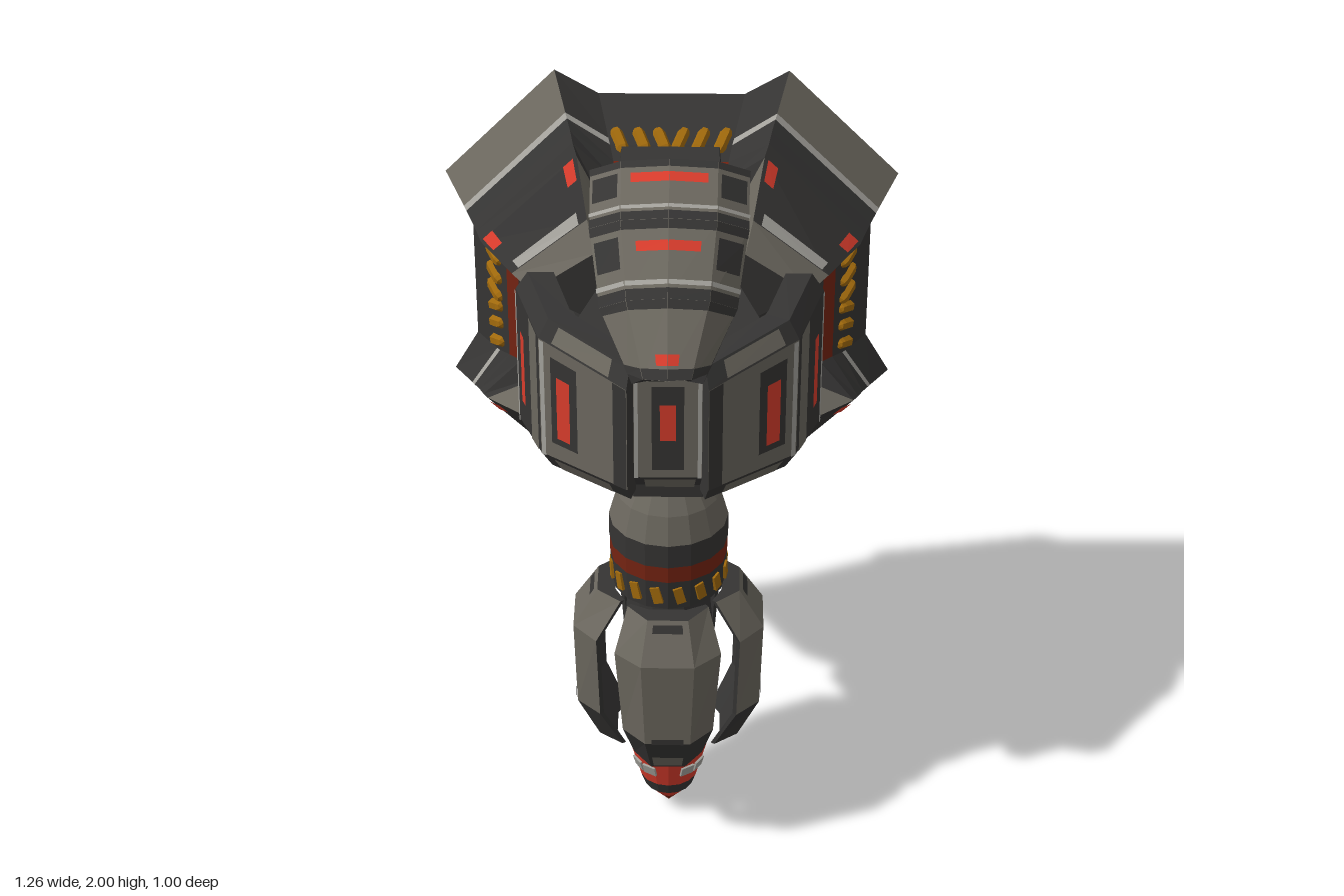
import * as THREE from 'three';

const material = (name, color) => {
  const m = new THREE.MeshStandardMaterial({ color, flatShading: true, side: THREE.DoubleSide });
  m.name = name;
  return m;
};
const mats = {
  dark: material('charcoal', 0x353433), mid: material('warm grey', 0x6b675e),
  light: material('pale edge grey', 0xa3a19b), red: material('signal red', 0xd83c2c),
  rust: material('dark red', 0x742312), amber: material('amber', 0xa0690c),
};
const V = (x, y, z) => new THREE.Vector3(x, y, z);
const mean = pts => pts.reduce((s, p) => s.add(p), V(0, 0, 0)).divideScalar(pts.length);
const normalOf = q => V(0, 0, 0).crossVectors(q[2].clone().sub(q[0]), q[3].clone().sub(q[1])).normalize();

// Collects flat faces by colour, then makes one named mesh per colour
function builder() {
  const data = {};
  const B = {
    face(mat, pts, centre) {
      let p = pts;
      if (centre && normalOf(p).dot(mean(p).sub(centre)) < 0) p = [...p].reverse();
      const out = (data[mat] ??= []);
      for (let i = 1; i + 1 < p.length; i++)
        for (const v of [p[0], p[i], p[i + 1]]) out.push(v.x, v.y, v.z);
    },
    // Thin painted patch on quad q, given in fractions of its two edges
    decal(mat, q, u0, u1, v0, v1, centre, lift = 0.004) {
      const n = normalOf(q);
      if (n.dot(mean(q).sub(centre)) < 0) n.negate();
      const at = (u, v) => q[0].clone().lerp(q[1], u).lerp(q[3].clone().lerp(q[2], u), v).addScaledVector(n, lift);
      B.face(mat, [at(u0, v0), at(u1, v0), at(u1, v1), at(u0, v1)], centre);
    },
    // Solid with an outer quad and a matching inner quad
    hex(outer, inner, mat) {
      const c = mean([...outer, ...inner]);
      B.face(mat, outer, c);
      B.face('dark', inner, c);
      for (let i = 0; i < 4; i++) {
        const j = (i + 1) % 4;
        B.face('dark', [outer[i], outer[j], inner[j], inner[i]], c);
      }
      return c;
    },
    done(name) {
      const g = new THREE.Group();
      g.name = name;
      for (const [mat, pos] of Object.entries(data)) {
        const geo = new THREE.BufferGeometry();
        geo.setAttribute('position', new THREE.Float32BufferAttribute(pos, 3));
        geo.computeVertexNormals();
        const mesh = new THREE.Mesh(geo, mats[mat]);
        mesh.name = `${name} ${mats[mat].name}`;
        g.add(mesh);
      }
      return g;
    },
  };
  return B;
}

// Wall mount: notched octagon tapering forward
function makeMount() {
  const B = builder(), cy = 1.375;
  // z, recess x, recess height, corner x, corner height above and below, corner height at the sides
  const levels = [
    [-0.5, 0.2, 0.56, 0.32, 0.63, 0.63], [-0.36, 0.17, 0.495, 0.285, 0.57, 0.57], [-0.34, 0.165, 0.485, 0.28, 0.562, 0.562],
    [-0.3, 0.155, 0.455, 0.27, 0.545, 0.545], [-0.26, 0.15, 0.42, 0.262, 0.53, 0.53], [-0.22, 0.15, 0.3, 0.25, 0.51, 0.515],
    [-0.1, 0.14, 0.26, 0.22, 0.385, 0.425], [-0.04, 0.13, 0.24, 0.2, 0.315, 0.37]];
  const wedge = ['mid', 'light', 'dark', 'dark', 'dark', 'dark', 'mid'];
  const wall = ['dark', 'light', 'dark', 'dark', 'dark', 'mid', 'mid'];
  const floor = ['dark', 'dark', 'dark', 'rust', 'dark', 'dark', 'dark'];
  const rings = levels.map(([z, ax, ay, bx, byEnd, bySide]) => {
    const ring = [];
    for (let s = 0; s < 4; s++) {
      const by = s % 2 ? bySide : byEnd;
      for (let [x, y] of [[-bx, by], [-ax, ay], [ax, ay], [bx, by]]) {
        for (let k = 0; k < s; k++) [x, y] = [y, -x];
        ring.push(V(x, cy + y, z));
      }
    }
    return ring;
  });
  const centre = V(0, cy, -0.4), hub = V(0, cy, -0.5);
  for (let k = 0; k + 1 < rings.length; k++)
    for (let i = 0; i < 16; i++) {
      const j = (i + 1) % 16, colours = [wall, floor, wall, wedge][i % 4];
      const q = [rings[k][i], rings[k + 1][i], rings[k + 1][j], rings[k][j]];
      B.face(colours[k], q);
      if (i % 4 === 3 && k === 5) {
        B.decal('red', q, 0, 0.35, 0.03, 0.13, centre);
        B.decal('red', q, 0, 0.35, 0.87, 0.97, centre);
        B.decal('light', q, 0.8, 1, 0.1, 0.9, centre);
      }
    }
  for (let i = 0; i < 16; i++) {
    const j = (i + 1) % 16;
    B.face('dark', [rings[0][i], rings[0][j], hub]);
    B.face('dark', [rings[7][j], rings[7][i], V(0, cy, -0.04)]);
    // Worn streaks near the corners of the back
    if (i % 4 === 3) B.decal('mid', [rings[0][i], rings[0][j], hub, hub], 0.05, 0.95, 0.18, 0.225, centre, 0.003);
  }
  return B.done('wallMount');
}

// Curved plate lofted from matching outer and inner lines of points
function plate(B, outer, inner, colour, paint) {
  for (let k = 0; k + 1 < outer.length; k++)
    for (let i = 0; i + 1 < outer[k].length; i++) {
      const q = L => [L[k][i], L[k][i + 1], L[k + 1][i + 1], L[k + 1][i]];
      paint(q(outer), k, i, B.hex(q(outer), q(inner), colour(k, i)));
    }
}

// Overhanging top visor
function makeVisor() {
  const B = builder();
  // half width, outer z y, inner z y
  const secs = [[0.21, -0.04, 1.97, -0.03, 1.83], [0.205, 0.17, 1.91, 0.13, 1.8],
    [0.175, 0.35, 1.78, 0.29, 1.69], [0.1, 0.5, 1.63, 0.44, 1.605]];
  const us = [-1, -0.6, 0, 0.6, 1], drop = [0.07, 0.015, 0, 0.015, 0.07];
  const outer = secs.map(([w, z, y], k) => us.map((u, i) => V(u * w, y - drop[i] * (k === 3 ? 0.3 : 1), z - drop[i])));
  const inner = secs.map(([w, , , z, y]) => us.map(u => V(u * w * 0.9, y - 0.02 * Math.abs(u), z)));
  plate(B, outer, inner, () => 'mid', (q, k, i, c) => {
    B.decal('dark', q, 0, 1, 0, 0.12, c, 0.002);
    B.decal('dark', q, 0, 1, 0.86, 1, c, 0.002);
    if (k < 2) B.decal('light', q, 0, 1, 0.76, 0.82, c);
    // red dash split over the two middle faces
    const [u, v0, v1] = [[0.8, 0.22, 0.38], [0.7, 0.27, 0.4], [0.4, 0.68, 0.82]][k];
    if (i === 1) B.decal('red', q, 1 - u, 1, v0, v1, c);
    if (i === 2) B.decal('red', q, 0, u, v0, v1, c);
    if (i % 3 === 0 && k < 2) B.decal('dark', q, 0.1, 0.9, 0.2, 0.6, c, 0.002);
  });
  return B.done('topVisor');
}

// Upright armour wrapped round the hub: a recessed centre panel and two panels each side
function makeArmour() {
  const B = builder();
  const half = [[0.105, 0.34, 1.185, 1.59], [0.105, 0.4, 1.185, 1.59], [0.34, 0.185, 1.16, 1.615], [0.41, -0.03, 1.13, 1.64]]; // x, z, low, high
  const path = [...half.map(([x, ...rest]) => [-x, ...rest]).reverse(), ...half];
  const line = (height, k) => path.map(([x, z, lo, hi]) => V(x * k, height(lo, hi), z > 0 ? z * k : z));
  const heights = [lo => lo, lo => lo + 0.05, (lo, hi) => hi - 0.05, (lo, hi) => hi];
  const outer = heights.map((h, r) => line(h, r % 3 ? 1 : 0.92));
  const inner = heights.map(h => line(h, 0.75));
  plate(B, outer, inner, (k, i) => (k === 1 && i % 2 && i > 0 ? 'mid' : 'dark'), (q, k, i, c) => {
    // mirrored fractions so that 0 is always the panel's front edge
    const strip = (mat, a, b, v0, v1, lift) => {
      const [u0, u1] = i < 3 ? [1 - b, 1 - a] : [a, b];
      B.decal(mat, q, u0, u1, v0, v1, c, lift);
    };
    const kind = ['centre', 'cheek', 'front', 'side'][Math.abs(i - 3)];
    if (k !== 1) {
      if (kind === 'centre' || kind === 'front') strip('mid', 0.2, 0.85, 0.1, 0.9, 0.003);
    } else if (kind === 'centre') {
      strip('dark', 0.3, 0.7, 0.08, 0.92, 0.002);
      strip('light', 0.08, 0.13, 0, 1);
      strip('light', 0.87, 0.92, 0, 1);
      strip('red', 0.4, 0.6, 0.38, 0.74);
    } else if (kind === 'cheek') {
      // amber rungs on the walls beside the centre panel
      for (let r = 0; r < 7; r++) strip('amber', 0.1, 0.9, 0.06 + r * 0.13, 0.13 + r * 0.13);
    } else {
      if (kind === 'side') strip('mid', 0.08, 0.4, 0, 1, 0.002);
      else {
        strip('dark', 0.56, 0.86, 0.14, 0.9, 0.002);
        strip('dark', 0, 0.15, 0, 1, 0.002);
      }
      strip('light', 0.93, 0.98, 0, 1);
      strip('red', 0.64, 0.79, 0.2, 0.75);
    }
  });
  return B.done('hubArmour');
}

// Four bowed casing plates round the gun body
function makeCasing() {
  const B = builder();
  const secs = [[0.29, 0.095, 0.195], [0.42, 0.125, 0.255], [0.69, 0.145, 0.262], [0.8, 0.11, 0.195]]; // y, half width, radius
  for (let s = 0; s < 4; s++) {
    const turn = v => v.applyAxisAngle(V(0, 1, 0), s * Math.PI / 2).add(V(0, 0, 0.19));
    const line = (w, y, r, d) => [[-1, d], [-0.5, 0], [0.5, 0], [1, d]].map(([u, e]) => turn(V(u * w, y, r - e)));
    plate(B, secs.map(([y, w, r]) => line(w, y, r, 0.065)), secs.map(([y, w, r]) => line(w * 0.93, y, r - 0.05, 0.025)),
      k => (k === 0 ? 'dark' : 'mid'), (q, k, i, c) => {
        if (i !== 1) return;
        if (k === 0) B.decal('mid', q, 0.1, 0.9, 0.1, 0.45, c);
        if (k === 1) B.decal('dark', q, 0.15, 0.85, 0, 0.07, c);
        if (k === 2) B.decal('dark', q, 0.15, 0.85, 0.72, 0.9, c);
      });
  }
  return B.done('gunCasing');
}

export function createModel() {
  const root = new THREE.Group();
  root.name = 'hangingTurret';
  const add = (name, geo, mat, parent = root) => {
    const m = new THREE.Mesh(geo, mats[mat]);
    m.name = name;
    parent.add(m);
    return m;
  };
  root.add(makeMount(), makeVisor(), makeArmour(), makeCasing());

  // Amber lamps in the four mount recesses
  for (let s = 0; s < 4; s++) {
    const side = new THREE.Group();
    side.name = 'recessLamps';
    side.position.y = 1.375;
    side.rotation.z = -s * Math.PI / 2;
    root.add(side);
    for (const x of [-0.14, -0.08, -0.025, 0.025, 0.08, 0.14]) {
      const lamp = add('lamp', new THREE.CapsuleGeometry(0.018, 0.05, 2, 6).rotateX(Math.PI / 2), 'amber', side);
      lamp.position.set(x, 0.49, -0.355);
      lamp.rotation.set(0.48, -Math.sign(x) * 0.35, 0);
    }
  }

  // Hub core, side arms and visor neck
  const outline = [[-0.19, -0.22], [0.19, -0.22], [0.19, -0.04], [0.24, 0.13], [0.09, 0.32], [-0.09, 0.32], [-0.24, 0.13], [-0.19, -0.04]];
  const shape = new THREE.Shape(outline.map(p => new THREE.Vector2(...p)));
  const core = add('hubCore', new THREE.ExtrudeGeometry(shape, { depth: 0.43, bevelEnabled: false }), 'dark');
  core.rotation.x = Math.PI / 2;
  core.position.y = 1.59;
  for (const x of [-0.29, 0.29])
    add('sideArm', new THREE.BoxGeometry(0.2, 0.19, 0.22), 'dark').position.set(x, 1.38, -0.14);
  const B = builder();
  const slab = (w, y, z0, z1) => [V(-w, y, z0), V(w, y, z0), V(w, y, z1), V(-w, y, z1)];
  B.hex(slab(0.13, 1.92, -0.21, -0.01), slab(0.14, 1.78, -0.28, 0.03), 'dark');
  B.hex(slab(0.14, 1.78, -0.28, 0.03), slab(0.15, 1.55, -0.28, 0.06), 'dark');
  root.add(B.done('visorNeck'));

  // Turned gun: each band runs between two radius, y pairs
  const gun = new THREE.Group();
  gun.name = 'gun';
  gun.position.z = 0.19;
  root.add(gun);
  const bands = [
    ['gunTop', 'dark', 0.1, 1.19, 0.11, 1.15], ['shoulder', 'mid', 0.11, 1.15, 0.14, 1.1], ['shoulder', 'mid', 0.14, 1.1, 0.162, 1.02],
    ['collar', 'dark', 0.162, 1.02, 0.162, 0.95], ['collarBand', 'rust', 0.16, 0.95, 0.16, 0.9],
    ['lampRing', 'dark', 0.16, 0.9, 0.155, 0.81], ['lampRing', 'dark', 0.155, 0.81, 0.11, 0.79],
    ['innerBody', 'dark', 0.11, 0.79, 0.12, 0.68], ['innerBody', 'dark', 0.12, 0.68, 0.12, 0.28],
    ['tipCollar', 'dark', 0.125, 0.28, 0.118, 0.255], ['tip', 'red', 0.118, 0.255, 0.084, 0.125],
    ['tipBand', 'dark', 0.084, 0.125, 0.07, 0.085], ['point', 'red', 0.068, 0.085, 0.03, 0.04], ['point', 'rust', 0.03, 0.04, 0.001, 0.005]];
  for (const [name, mat, r1, y1, r0, y0] of bands)
    add(name, new THREE.CylinderGeometry(r1, r0, y1 - y0, 16, 1, true), mat, gun).position.y = (y0 + y1) / 2;
  for (let i = 0; i < 16; i++) {
    const a = (i + 0.5) * Math.PI / 8;
    const lamp = add('ringLamp', new THREE.BoxGeometry(0.026, 0.05, 0.01), 'amber', gun);
    lamp.position.set(Math.sin(a) * 0.157, 0.855, Math.cos(a) * 0.157);
    lamp.rotation.set(0, a, 0.25);
  }
  // Pairs of pale spots on each side of the tip
  for (let i = 0; i < 8; i++) {
    const a = Math.floor(i / 2) * Math.PI / 2 + (i % 2 ? 0.56 : -0.56);
    const spot = add('tipSpot', new THREE.BoxGeometry(0.04, 0.034, 0.009), 'light', gun);
    spot.position.set(Math.sin(a) * 0.099, 0.185, Math.cos(a) * 0.099);
    spot.rotation.set(0.26, a, 0, 'YXZ');
  }
  return root;
}
